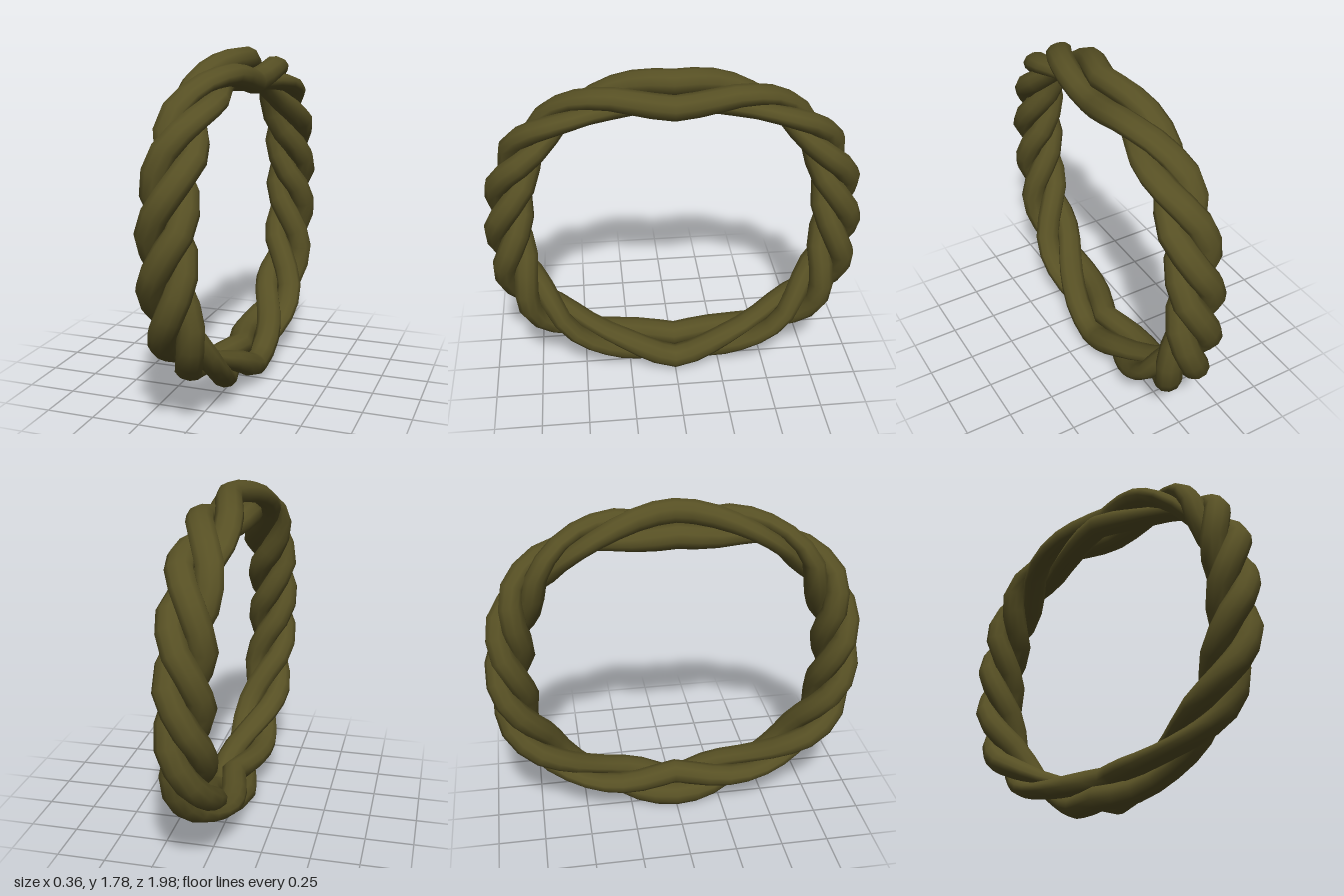
import * as THREE from 'three';
import { mergeVertices } from 'three/addons/utils/BufferGeometryUtils.js';

const HALF_WIDTH = 0.862, HALF_HEIGHT = 0.772, CENTRE_Y = 0.882;
const STRANDS = 3, STRAND_RADIUS = 0.069, STRAND_OFFSET = 0.075, SIDE_OFFSET = 0.082;

// Centre line of the wreath in the z-y plane: round below, squarer above
function centreLine(angle) {
  const c = Math.cos(angle), s = Math.sin(angle);
  const n = 2.4 + 0.25 * s + 0.4 * s ** 5;
  const r = Math.pow(Math.abs(c) ** n + Math.abs(s) ** n, -1 / n);
  return new THREE.Vector2(HALF_WIDTH * r * c, CENTRE_Y + HALF_HEIGHT * r * s);
}

// Twist in degrees: two and a half turns per half, looser at bottom and top
function twistAt(t) {
  return 36 + 900 * t - 45 * Math.sin(2 * Math.PI * t)
    - 80 * t * Math.sin(Math.PI * t) ** 2 + 250 * t ** 6 * (1 - t);
}

// Point on a strand of the front half; t runs from bottom (0) to top (1)
function strandPoint(t, phase) {
  const angle = (t - 0.5) * Math.PI;
  const p = centreLine(angle);
  const d = centreLine(angle + 0.01).sub(centreLine(angle - 0.01)).normalize();
  const twist = THREE.MathUtils.degToRad(twistAt(t) + phase);
  const out = Math.sin(twist) * STRAND_OFFSET;
  const x = 0.02 * Math.sin(angle) ** 2 - Math.cos(twist) * SIDE_OFFSET;
  return new THREE.Vector3(x, p.y - d.x * out, p.x + d.y * out);
}

// Squeeze the rope towards its centre line, most of all at the four bends
function squeeze(geometry) {
  const pos = geometry.attributes.position;
  for (let i = 0; i < pos.count; i++) {
    const z = pos.getZ(i), y = pos.getY(i);
    const angle = Math.atan2((y - CENTRE_Y) / HALF_HEIGHT, Math.abs(z) / HALF_WIDTH);
    const bend = (THREE.MathUtils.radToDeg(Math.abs(angle)) - 57) / 18;
    const k = 0.94 - 0.33 * Math.exp(-bend * bend);
    const c = centreLine(angle);
    pos.setY(i, c.y + (y - c.y) * k);
    pos.setZ(i, Math.sign(z) * (c.x + (Math.abs(z) - c.x) * k));
  }
}

export function createModel() {
  const group = new THREE.Group();
  group.name = 'twistedWreath';
  const material = new THREE.MeshStandardMaterial({ color: 0x575024 });
  const steps = 16;

  for (let i = 0; i < STRANDS; i++) {
    const phase = (360 / STRANDS) * i;
    const points = [];
    // Front half upwards, then its mirror image downwards at the back
    for (let k = 0; k <= steps; k++) points.push(strandPoint(k / steps, phase));
    for (let k = steps - 1; k > 0; k--) {
      const p = strandPoint(k / steps, phase);
      points.push(p.setZ(-p.z));
    }
    // The loop leans slightly sideways from back to front
    points.forEach((p) => { p.x -= 0.04 * p.z; });

    const curve = new THREE.CatmullRomCurve3(points, true);
    const tube = new THREE.TubeGeometry(curve, 56, STRAND_RADIUS, 10, true);
    tube.deleteAttribute('uv');
    tube.deleteAttribute('normal');
    const geometry = mergeVertices(tube, 1e-4);
    squeeze(geometry);
    geometry.computeVertexNormals();
    const strand = new THREE.Mesh(geometry, material);
    strand.name = `strand${i + 1}`;
    group.add(strand);
  }
  return group;
}
